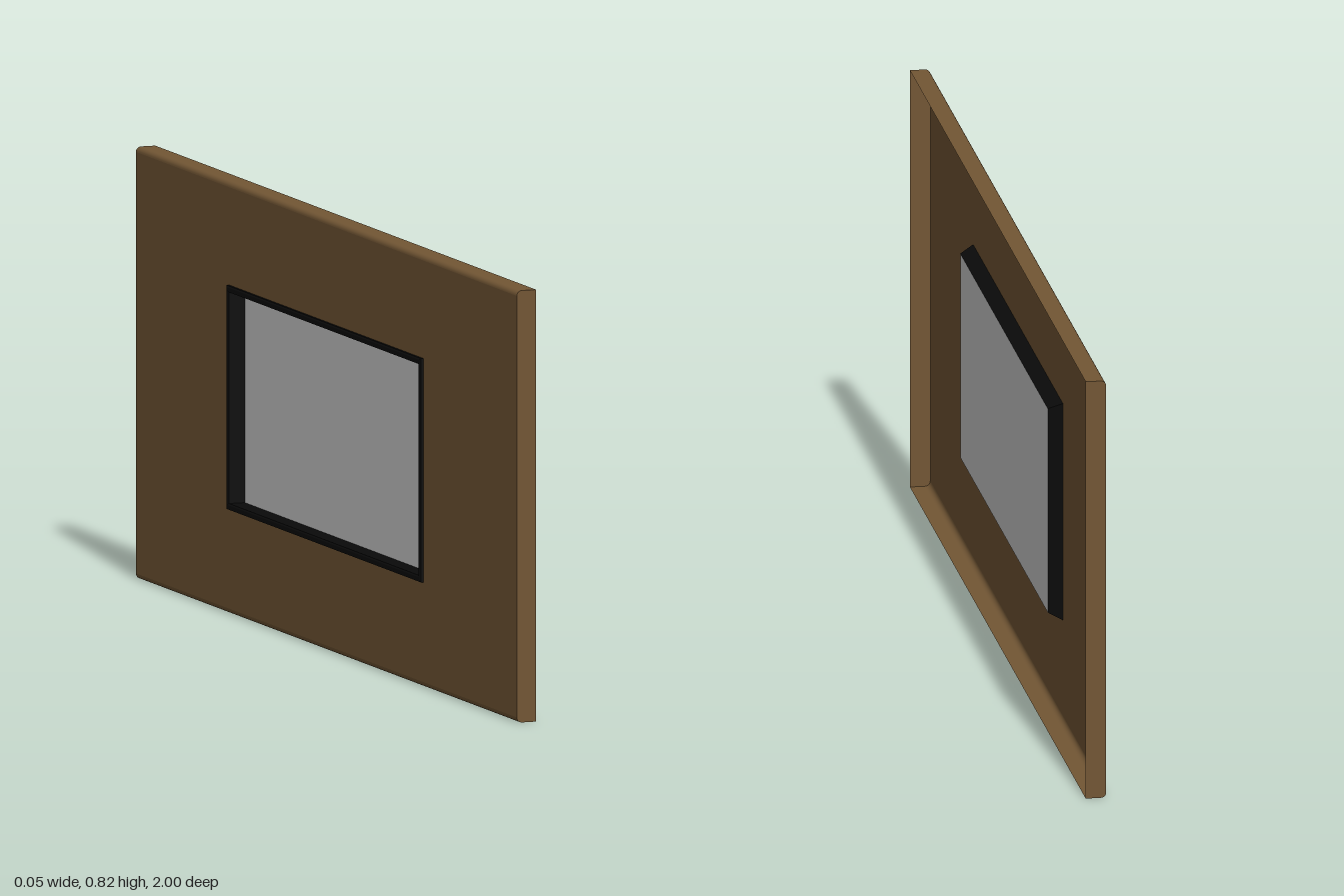
import * as THREE from 'three';

const HEIGHT = 0.822, BACK = 0.022, FACE = -0.017, R = 0.01; // slab faces x = FACE, open at BACK
const MID = 0.413, PANE_Z = 0.498, PANE_Y = 0.201, PANE_X = 0.01;

const wood = new THREE.MeshStandardMaterial({ color: 0x725634, side: THREE.DoubleSide });
const black = new THREE.MeshStandardMaterial({ color: 0x0a0a0a, side: THREE.DoubleSide, flatShading: true });
const grey = new THREE.MeshStandardMaterial({ color: 0xcccccc, side: THREE.DoubleSide });

function add(parent, name, geometry, material) {
  const mesh = new THREE.Mesh(geometry, material);
  mesh.name = name;
  parent.add(mesh);
  return mesh;
}

// Upper rounded lip, from the open side over to the face: [x, y]
function lipProfile() {
  const points = [[BACK, HEIGHT]];
  for (let i = 0; i <= 6; i++) {
    const a = Math.PI / 2 * (1 + i / 6);
    points.push([FACE + R + R * Math.cos(a), HEIGHT - R + R * Math.sin(a)]);
  }
  return points;
}

// Sweeps a profile along z
function sweep(profile, length) {
  const geometry = new THREE.PlaneGeometry(length, 1, 1, profile.length - 1);
  const pos = geometry.attributes.position;
  for (let i = 0; i < pos.count; i++) {
    const [x, y] = profile[Math.floor(i / 2)];
    pos.setXYZ(i, x, y, -pos.getX(i));
  }
  geometry.computeVertexNormals();
  return geometry;
}

// Joins concentric rectangles, given as [x, outset from the pane], into a closed frame
function rectangularFrame(sections) {
  const corners = [[1, 1], [-1, 1], [-1, -1], [1, -1]];
  const verts = [], index = [], n = sections.length;
  for (const [x, out] of sections)
    for (const [sz, sy] of corners) verts.push(x, sy * (PANE_Y + out), sz * (PANE_Z + out));
  for (let s = 0; s < n; s++)
    for (let c = 0; c < 4; c++) {
      const a = s * 4 + c, b = s * 4 + (c + 1) % 4;
      const d = ((s + 1) % n) * 4 + c, e = ((s + 1) % n) * 4 + (c + 1) % 4;
      index.push(a, b, d, b, e, d);
    }
  const geometry = new THREE.BufferGeometry();
  geometry.setAttribute('position', new THREE.Float32BufferAttribute(verts, 3));
  geometry.setIndex(index);
  geometry.computeVertexNormals();
  return geometry;
}

export function createModel() {
  const group = new THREE.Group();
  const panel = new THREE.Group();
  panel.name = 'panel';
  group.add(panel);

  // Face sheet with the window opening
  const face = new THREE.Shape([[-1, R], [1, R], [1, HEIGHT - R], [-1, HEIGHT - R]]
    .map(([x, y]) => new THREE.Vector2(x, y)));
  const z = PANE_Z + 0.008, y = PANE_Y + 0.008;
  face.holes.push(new THREE.Path([[-z, MID - y], [-z, MID + y], [z, MID + y], [z, MID - y]]
    .map(([px, py]) => new THREE.Vector2(px, py))));
  add(panel, 'panelFace', new THREE.ShapeGeometry(face).rotateY(-Math.PI / 2).translate(FACE, 0, 0), wood);

  // Rounded top and bottom edges
  const top = lipProfile();
  const bottom = top.map(([x, py]) => [x, HEIGHT - py]).reverse();
  add(panel, 'topEdge', sweep(top, 2), wood);
  add(panel, 'bottomEdge', sweep(bottom, 2), wood);

  // Flat end walls
  const end = new THREE.Shape([...top, ...bottom].map(([x, py]) => new THREE.Vector2(x, py)));
  add(panel, 'leftEnd', new THREE.ShapeGeometry(end).translate(0, 0, 1), wood);
  add(panel, 'rightEnd', new THREE.ShapeGeometry(end).rotateY(Math.PI).scale(-1, 1, 1).translate(0, 0, -1), wood)
    .geometry.index.array.reverse();

  // Tapered window frame with a raised lip, and the recessed pane
  const frame = rectangularFrame([
    [PANE_X, 0], [-0.022, 0], [-0.024, 0.003], [-0.024, 0.009], [-0.022, 0.012], [-0.015, 0.012],
  ]);
  add(group, 'windowFrame', frame, black).position.y = MID;
  const pane = new THREE.PlaneGeometry(PANE_Z * 2, PANE_Y * 2).rotateY(Math.PI / 2);
  add(group, 'windowPane', pane, grey).position.set(PANE_X, MID, 0);

  return group;
}
